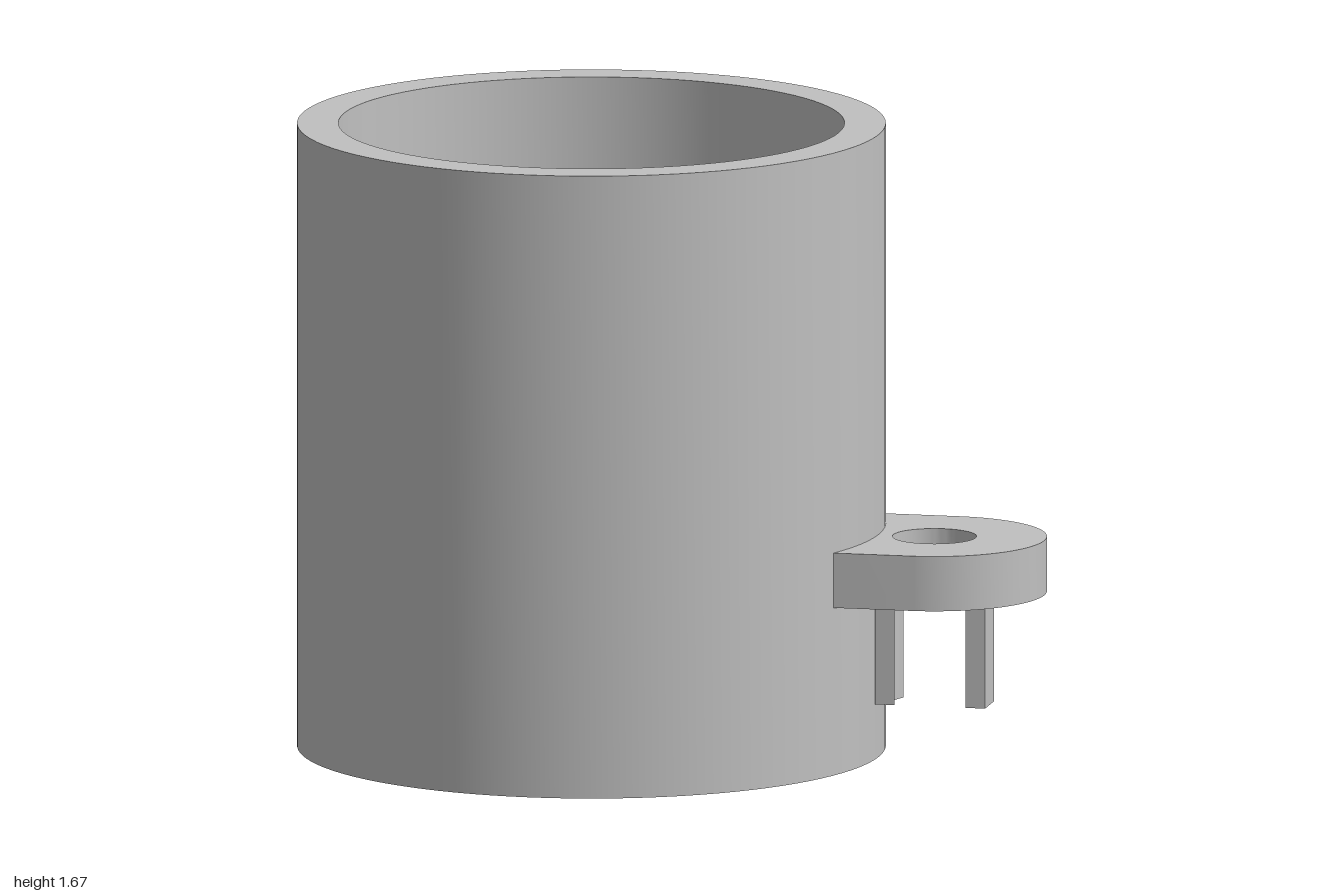
import * as THREE from 'three';
import { toCreasedNormals } from 'three/addons/utils/BufferGeometryUtils.js';

const CUP_X = -0.223, CUP_R = 0.777, BORE_R = 0.668, CUP_H = 1.67, FLOOR = 0.11;
const TAB_X = 0.703, TAB_R = 0.297, HOLE_R = 0.111;

export function createModel() {
  const model = new THREE.Group();
  model.name = 'cupWithBracket';
  const grey = new THREE.MeshStandardMaterial({ color: 0xc0c0c0 });
  grey.name = 'grey';

  const add = (name, geometry, x, y) => {
    const mesh = new THREE.Mesh(toCreasedNormals(geometry, 0.5), grey);
    mesh.name = name;
    mesh.position.set(x, y, 0);
    model.add(mesh);
    return mesh;
  };

  // Extrude a plan outline upwards
  const slab = (shape, depth) =>
    new THREE.ExtrudeGeometry(shape, { depth, bevelEnabled: false, curveSegments: 48 }).rotateX(-Math.PI / 2);

  // Thick-walled cup, open at the top
  const profile = [[0, 0], [CUP_R, 0], [CUP_R, CUP_H], [BORE_R, CUP_H], [BORE_R, FLOOR], [0, FLOOR]]
    .map(([x, y]) => new THREE.Vector2(x, y));
  add('cup', new THREE.LatheGeometry(profile, 96), CUP_X, 0);

  // Bracket: disc with squared shoulders buried in the cup wall, and a round hole
  const shoulderX = -0.23;
  const a = Math.acos(shoulderX / TAB_R);
  const tab = new THREE.Shape();
  tab.moveTo(shoulderX, -TAB_R);
  tab.lineTo(0, -TAB_R);
  tab.absarc(0, 0, TAB_R, -Math.PI / 2, Math.PI / 2, false);
  tab.lineTo(shoulderX, TAB_R);
  tab.absarc(0, 0, TAB_R, a, 2 * Math.PI - a, false);
  tab.closePath();
  const hole = new THREE.Path();
  hole.absarc(0, 0, HOLE_R, 0, Math.PI * 2, true);
  tab.holes.push(hole);
  add('bracket', slab(tab, 0.147), TAB_X, 0.45);

  // Two prongs under the bracket, hollowed to the hole's radius on their inner faces
  const half = 0.056, b = Math.asin(half / HOLE_R);
  const prong = new THREE.Shape();
  prong.moveTo(0.149, -half);
  prong.lineTo(0.149, half);
  prong.absarc(0, 0, HOLE_R, b, -b, true);
  prong.closePath();
  add('outerProng', slab(prong, 0.3), TAB_X, 0.15);
  add('innerProng', slab(prong, 0.3), TAB_X, 0.15).rotation.y = Math.PI;

  return model;
}
